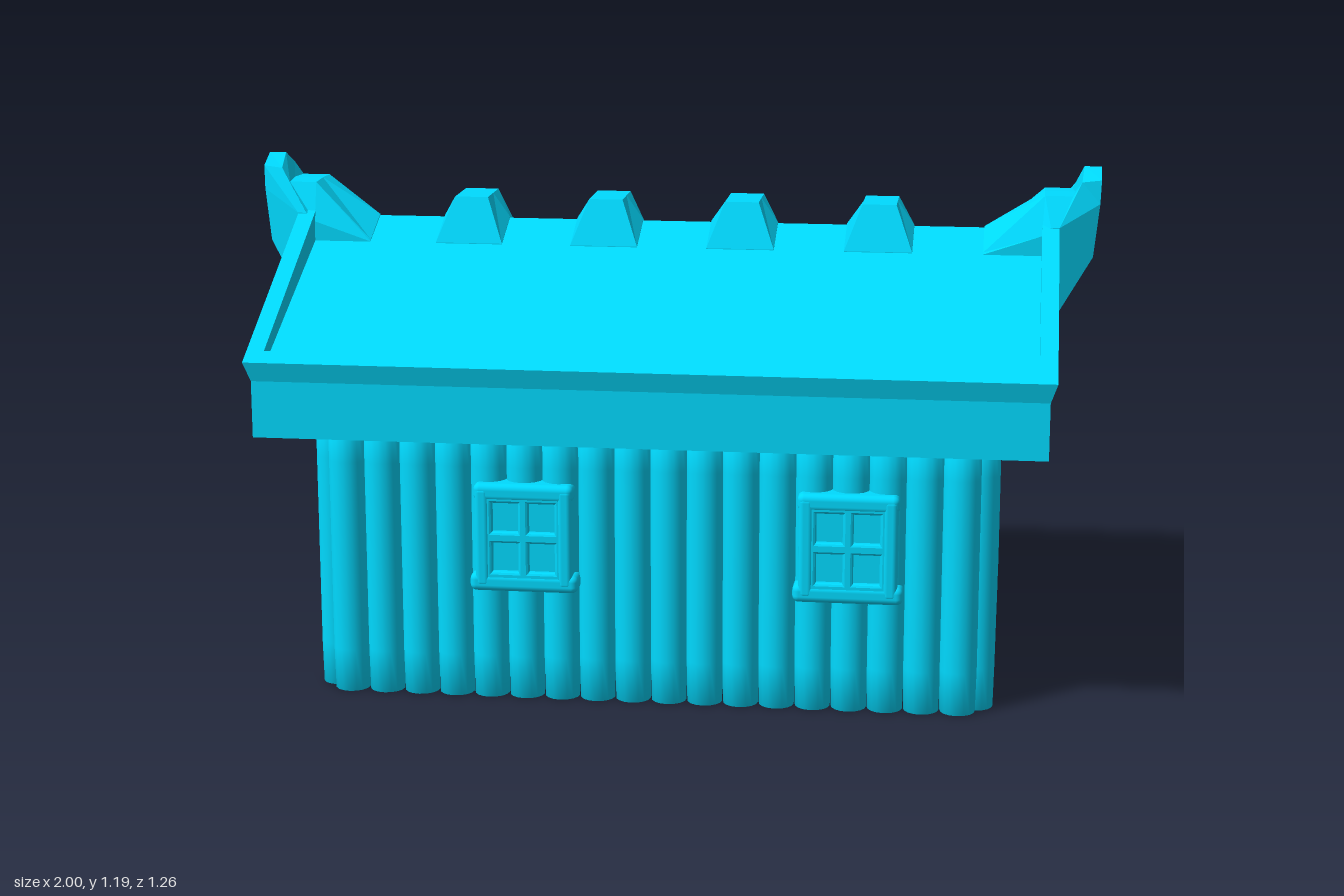
import * as THREE from 'three';
import { RoundedBoxGeometry } from 'three/addons/geometries/RoundedBoxGeometry.js';

const COLOR = 0x00daff;
const smooth = new THREE.MeshStandardMaterial({ color: COLOR });
const faceted = new THREE.MeshStandardMaterial({ color: COLOR, flatShading: true });

function add(parent, name, geometry, material, x = 0, y = 0, z = 0) {
  const mesh = new THREE.Mesh(geometry, material);
  mesh.name = name;
  mesh.position.set(x, y, z);
  parent.add(mesh);
  return mesh;
}

// Skin a series of closed rings and cap both ends; endCap lists its own polygons
function loft(rings, endCap) {
  const n = rings[0].length;
  const index = [];
  const fan = (ids) => {
    for (let i = 1; i < ids.length - 1; i++) index.push(ids[0], ids[i], ids[i + 1]);
  };
  for (let r = 0; r < rings.length - 1; r++) {
    for (let i = 0; i < n; i++) {
      const j = (i + 1) % n;
      fan([r * n + i, r * n + j, (r + 1) * n + j, (r + 1) * n + i]);
    }
  }
  const all = [...Array(n).keys()];
  fan([...all].reverse());
  const last = (rings.length - 1) * n;
  (endCap || [all]).forEach((poly) => fan(poly.map((i) => last + i)));
  const geometry = new THREE.BufferGeometry();
  geometry.setAttribute('position', new THREE.Float32BufferAttribute(rings.flat(2), 3));
  geometry.setIndex(index);
  const flat = geometry.toNonIndexed();
  flat.computeVertexNormals();
  return flat;
}

// Upright log, square-cut but softly shaded towards the ends
const PITCH = 0.083;
const R = 0.0425;
const logGeometry = new THREE.LatheGeometry(
  [[0, 0], [R - 0.002, 0], [R, 0.1], [R, 0.55], [R, 0.645], [0, 0.645]]
    .map(([r, y]) => new THREE.Vector2(r, y)), 16);

function buildWalls() {
  const walls = new THREE.Group();
  walls.name = 'logWalls';
  const cx = -0.004, cz = 0.015;
  for (let i = 0; i < 18; i++) {
    const x = cx + (i - 8.5) * PITCH;
    add(walls, 'frontLog', logGeometry, smooth, x, 0, 0.473);
    add(walls, 'backLog', logGeometry, smooth, x, 0, -0.438);
  }
  for (let i = -5; i <= 5; i++) {
    const z = cz + i * PITCH;
    add(walls, 'leftLog', logGeometry, smooth, 0.741, 0, z);
    // doorway takes the place of the middle logs
    if (Math.abs(i) > 1) add(walls, 'rightLog', logGeometry, smooth, -0.749, 0, z);
  }
  return walls;
}

function buildDoor() {
  const door = new THREE.Group();
  door.name = 'door';
  add(door, 'doorPanel', new THREE.BoxGeometry(0.03, 0.54, 0.27), faceted, 0, 0.28, 0);
  add(door, 'doorHeader', new THREE.BoxGeometry(0.05, 0.1, 0.27), faceted, 0, 0.59, 0);
  add(door, 'lintel', new RoundedBoxGeometry(0.08, 0.065, 0.34, 3, 0.025), smooth, -0.025, 0.555, 0);
  add(door, 'knob', new THREE.SphereGeometry(0.012, 12, 8), smooth, -0.02, 0.25, -0.1);
  add(door, 'innerKnob', new THREE.SphereGeometry(0.012, 12, 8), smooth, 0.02, 0.25, -0.1);
  door.position.set(-0.755, 0, 0.015);
  return door;
}

function rect(target, x, y, w, h) {
  target.moveTo(x - w / 2, y - h / 2);
  target.lineTo(x + w / 2, y - h / 2);
  target.lineTo(x + w / 2, y + h / 2);
  target.lineTo(x - w / 2, y + h / 2);
  target.closePath();
  return target;
}

// Four-pane window, local z = 0 on the centre line of the logs
function buildWindow() {
  const win = new THREE.Group();
  win.name = 'window';
  const shape = rect(new THREE.Shape(), 0, 0, 0.19, 0.21);
  for (const x of [-0.042, 0.042]) {
    for (const y of [-0.047, 0.047]) shape.holes.push(rect(new THREE.Path(), x, y, 0.072, 0.08));
  }
  const frame = new THREE.ExtrudeGeometry(shape, {
    depth: 0.025, bevelThickness: 0.008, bevelSize: 0.006, bevelSegments: 2,
  });
  add(win, 'windowFrame', frame, smooth, 0, 0, 0.03);
  add(win, 'panes', new THREE.BoxGeometry(0.18, 0.2, 0.04), faceted, 0, 0, 0.025);
  for (const s of [-1, 1]) {
    add(win, 'jamb', new RoundedBoxGeometry(0.034, 0.235, 0.07, 3, 0.012), smooth, s * 0.095, 0, 0.031);
  }
  add(win, 'windowHead', new RoundedBoxGeometry(0.23, 0.042, 0.07, 3, 0.015), smooth, 0, 0.105, 0.03);
  add(win, 'windowSill', new RoundedBoxGeometry(0.25, 0.042, 0.07, 3, 0.015), smooth, 0, -0.107, 0.03);
  return win;
}

// Plan ring of a ridged form: side corners and the two ridge ends
const ridgeRing = (x, z, ySide, yRidge) => [
  [x, ySide, z], [x, yRidge, 0], [x, ySide, -z],
  [-x, ySide, -z], [-x, yRidge, 0], [-x, ySide, z],
];
const twoSlopes = [[0, 1, 4, 5], [1, 2, 3, 4]];

// Horn ring from five [x, y, z] points on one side, top to bottom
const hornRing = (pts) => [
  ...pts.map(([x, y, z]) => [x, y, -z]),
  ...pts.slice(1, 4).reverse(),
];

function buildRoof() {
  const roof = new THREE.Group();
  roof.name = 'roof';

  // Fascia, flared edge, raised rim and sunken roof slopes
  add(roof, 'roofBody', loft([
    ridgeRing(0.89, 0.617, 0.63, 0.63),
    ridgeRing(0.89, 0.617, 0.76, 1.06),
    ridgeRing(0.905, 0.63, 0.805, 1.112),
    ridgeRing(0.865, 0.59, 0.824, 1.112),
    ridgeRing(0.865, 0.59, 0.79, 1.04),
  ], twoSlopes), faceted);

  // Ridge blocks straddling the slopes
  const block = loft([
    ridgeRing(0.08, 0.11, 0.97, 1.02),
    ridgeRing(0.08, 0.11, 0.995, 1.043),
    ridgeRing(0.04, 0.068, 1.1, 1.1),
  ], twoSlopes);
  for (let i = 0; i < 4; i++) add(roof, 'ridgeBlock', block, faceted, -0.49 + i * 0.325);

  // Upswept horn with a sloping buttress at each end of the ridge
  const horn = loft([
    [[1, 1.19, 0], [1, 1.165, 0.055], [0.998, 1.11, 0.06], [0.985, 0.985, 0.062], [0.985, 0.997, 0]],
    [[0.96, 1.19, 0], [0.955, 1.16, 0.058], [0.905, 1.06, 0.11], [0.89, 0.83, 0.11], [0.89, 0.855, 0]],
    [[0.94, 1.13, 0], [0.935, 1.128, 0.065], [0.885, 1.06, 0.11], [0.88, 0.9, 0.11], [0.88, 0.9, 0]],
    [[0.87, 1.13, 0], [0.87, 1.128, 0.065], [0.865, 1.04, 0.11], [0.865, 0.93, 0.11], [0.865, 0.93, 0]],
    [[0.73, 1.043, 0], [0.73, 0.998, 0.105], [0.73, 0.994, 0.11], [0.73, 0.96, 0.11], [0.73, 0.96, 0]],
  ].map(hornRing));
  add(roof, 'leftHorn', horn, faceted);
  add(roof, 'rightHorn', horn, faceted).rotation.y = Math.PI;
  return roof;
}

export function createModel() {
  const house = new THREE.Group();
  house.name = 'logHouse';
  house.add(buildWalls(), buildDoor(), buildRoof());
  for (const x of [-0.29, 0.45]) {
    const front = buildWindow();
    front.position.set(x, 0.39, 0.473);
    const back = buildWindow();
    back.position.set(x, 0.39, -0.438);
    back.rotation.y = Math.PI;
    house.add(front, back);
  }
  return house;
}
